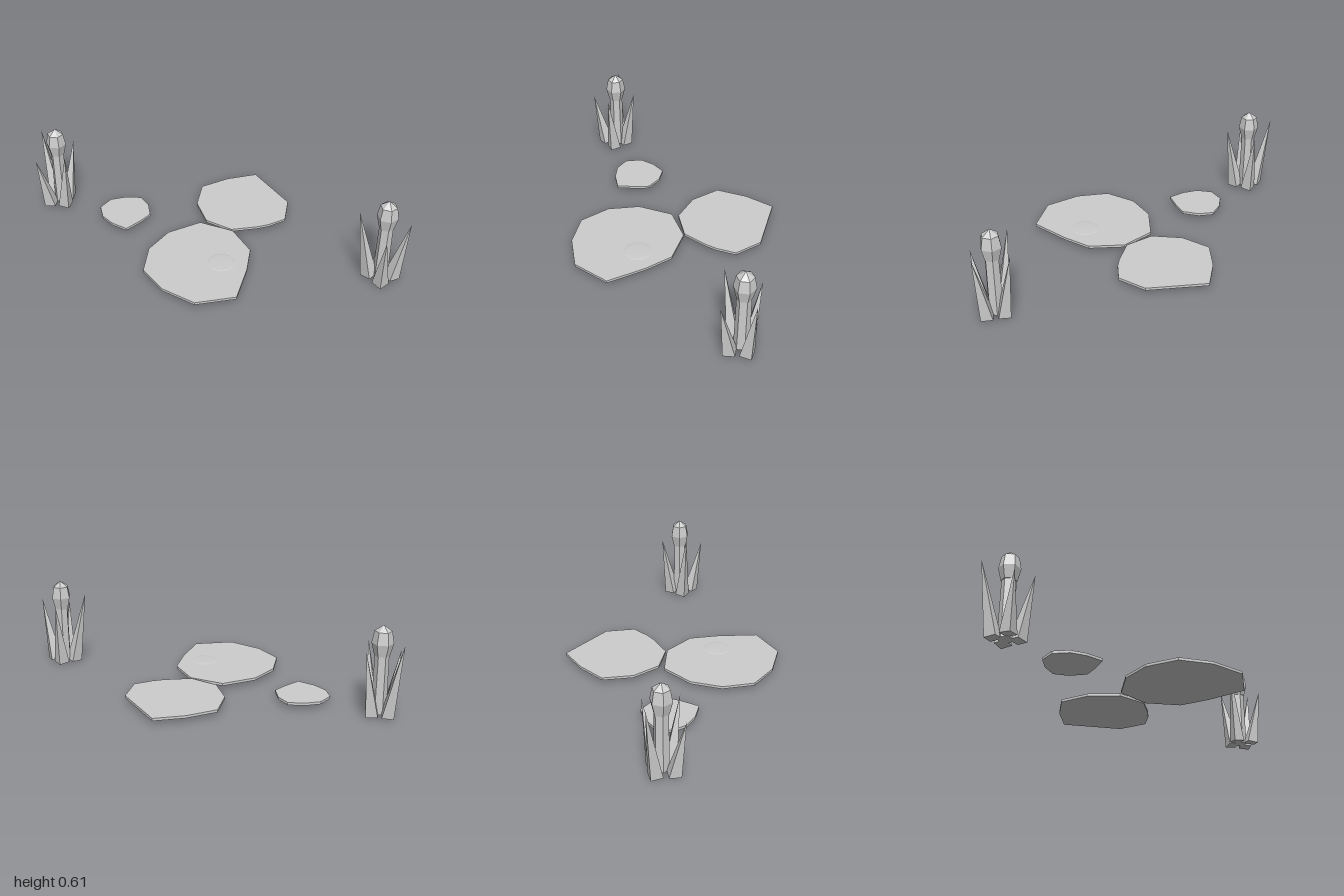
import * as THREE from 'three';

const PAD_BOTTOM = 0.028, PAD_TOP = 0.046;

// Lily pad outlines as [x, z]
const PADS = {
  smallPad: [[-.61, -.56], [-.51, -.62], [-.40, -.605], [-.30, -.555], [-.28, -.45],
    [-.31, -.335], [-.40, -.29], [-.525, -.245], [-.595, -.345], [-.63, -.45]],
  mediumPad: [[.05, -.32], [.17, -.50], [.39, -.515], [.605, -.48], [.665, -.065],
    [.55, .11], [.41, .12], [.335, .112], [.15, .065], [.03, -.105]],
  largePad: [[-.46, .03], [-.27, -.085], [-.02, -.10], [.15, .08], [.17, .325],
    [.06, .50], [-.12, .72], [-.39, .66], [-.53, .45], [-.575, .225]],
};

// Leaves: tip direction (degrees, x towards z), base distance, tip distance, tip height
const LEAVES = [
  [-109, .075, .18, .52],
  [-15, .06, .14, .455],
  [86, .075, .158, .46],
  [166, .09, .175, .405],
];

export function createModel() {
  const group = new THREE.Group();
  const grey = new THREE.MeshStandardMaterial({ color: 0xcccccc, flatShading: true });
  grey.name = 'plantGrey';

  const add = (parent, geometry, name) => {
    const mesh = new THREE.Mesh(geometry, grey);
    mesh.name = name;
    parent.add(mesh);
    return mesh;
  };
  const lathe = (points, sides) =>
    new THREE.LatheGeometry(points.map(([r, y]) => new THREE.Vector2(r, y)), sides);

  // Flat lily pads
  for (const [name, outline] of Object.entries(PADS)) {
    const shape = new THREE.Shape(outline.map(([x, z]) => new THREE.Vector2(x, -z)));
    const geometry = new THREE.ExtrudeGeometry(shape, { depth: PAD_TOP - PAD_BOTTOM, bevelEnabled: false });
    geometry.rotateX(-Math.PI / 2).translate(0, PAD_BOTTOM, 0);
    add(group, geometry, name);
  }

  // Barely raised swelling on the large pad
  const swelling = lathe([[.1, PAD_TOP - .001], [.085, .0485], [.05, .05], [0, .051]], 10);
  add(group, swelling, 'padSwelling').position.set(-.065, 0, .365);

  // Four-sided spike whose tip leans outwards
  const leafGeometry = ([, base, tip, height]) => {
    const geometry = new THREE.ConeGeometry(.055, 1, 4, 1).translate(0, .5, 0);
    const p = geometry.attributes.position;
    for (let i = 0; i < p.count; i++) {
      const x = p.getX(i), t = p.getY(i);
      const y = t > .5 ? height : (.055 - x) * .12;
      p.setXYZ(i, x + base + (tip - base) * t, y, p.getZ(i));
    }
    geometry.computeVertexNormals();
    return geometry;
  };

  // Reed: hexagonal stem, seed head and four leaves
  const addReed = (name, x, z, turn) => {
    const reed = new THREE.Group();
    reed.name = name;
    reed.position.set(x, 0, z);
    reed.rotation.y = turn;
    add(reed, lathe([[0, .01], [.05, .01], [.046, .42]], 6), 'stem');
    add(reed, lathe([[0, .405], [.05, .405], [.071, .49], [.056, .57], [0, .61]], 6), 'seedHead');
    for (const leaf of LEAVES) {
      add(reed, leafGeometry(leaf), 'leaf').rotation.y = -THREE.MathUtils.degToRad(leaf[0]);
    }
    group.add(reed);
  };
  addReed('backReed', -.82, -.832, 0);
  addReed('frontReed', .873, .862, Math.PI / 4);

  return group;
}
